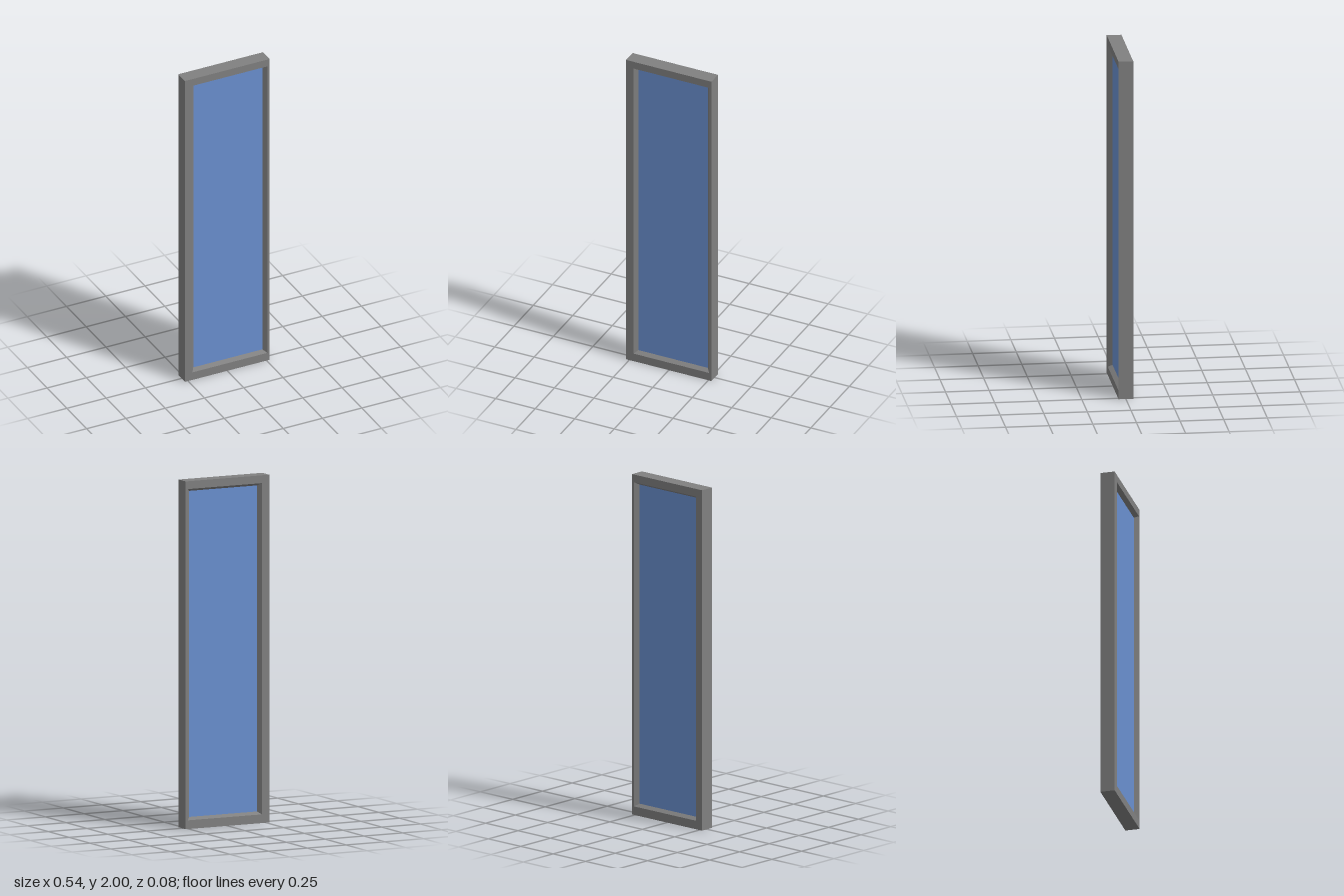
import * as THREE from 'three';

const HALF_DEPTH = 0.042; // half thickness of the frame
const GLASS_Z = 0.017; // half thickness of the pane

const OUTER = { x0: -0.27, x1: 0.27, y0: 0, y1: 2 };
const OPENING = { x0: -0.222, x1: 0.255, y0: 0.05, y1: 1.955 };
const PANE = { x0: -0.204, x1: 0.235, y0: 0.065, y1: 1.94 };

// Four corners of a rectangle, counter-clockwise seen from the front
const corners = ({ x0, x1, y0, y1 }, z) => [
  [x0, y0, z], [x1, y0, z], [x1, y1, z], [x0, y1, z],
];

// Skins a series of rectangular rings with flat mitred faces
function ringGeometry(rings) {
  const pos = [];
  for (let r = 0; r < rings.length - 1; r++) {
    const a = rings[r], b = rings[r + 1];
    for (let i = 0; i < 4; i++) {
      const j = (i + 1) % 4;
      pos.push(...a[i], ...a[j], ...b[j], ...a[i], ...b[j], ...b[i]);
    }
  }
  const geo = new THREE.BufferGeometry();
  geo.setAttribute('position', new THREE.Float32BufferAttribute(pos, 3));
  geo.computeVertexNormals();
  return geo;
}

export function createModel() {
  const model = new THREE.Group();
  model.name = 'window';

  // Frame: sloped back rebate, back face, outer sides, front face, sloped front rebate
  const frame = new THREE.Mesh(
    ringGeometry([
      corners(PANE, -GLASS_Z),
      corners(OPENING, -HALF_DEPTH),
      corners(OUTER, -HALF_DEPTH),
      corners(OUTER, HALF_DEPTH),
      corners(OPENING, HALF_DEPTH),
      corners(PANE, GLASS_Z),
    ]),
    new THREE.MeshStandardMaterial({ color: 0x808080 })
  );
  frame.name = 'frame';
  model.add(frame);

  // Glass pane filling the off-centre opening
  const pane = new THREE.Mesh(
    new THREE.BoxGeometry(PANE.x1 - PANE.x0, PANE.y1 - PANE.y0, GLASS_Z * 2),
    new THREE.MeshStandardMaterial({ color: 0x6a90d0 })
  );
  pane.position.set((PANE.x0 + PANE.x1) / 2, (PANE.y0 + PANE.y1) / 2, 0);
  pane.name = 'glassPane';
  model.add(pane);

  return model;
}
